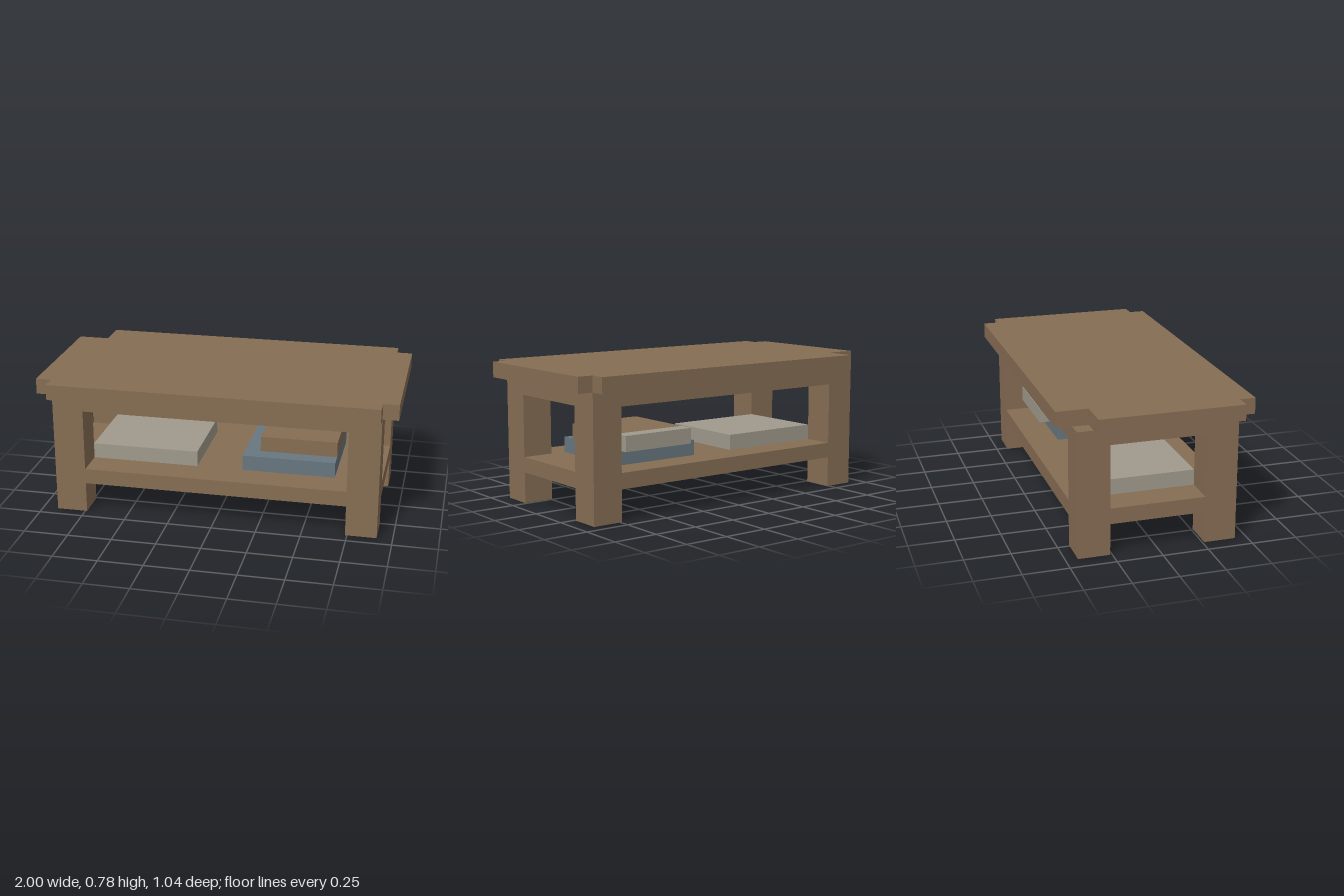
import * as THREE from 'three';

// Everything sits on a grid of 23 cells along the longest side
const U = 2 / 23;

const wood = new THREE.MeshStandardMaterial({ color: 0x866d53 });
wood.name = 'wood';
const paper = new THREE.MeshStandardMaterial({ color: 0xa09a8c });
paper.name = 'paper grey';
const blue = new THREE.MeshStandardMaterial({ color: 0x687780 });
blue.name = 'slate blue';

export function createModel() {
  const model = new THREE.Group();
  model.name = 'coffeeTable';

  const add = (name, geometry, material) => {
    geometry.scale(U, U, U);
    const mesh = new THREE.Mesh(geometry, material);
    mesh.name = name;
    model.add(mesh);
  };

  // Box from its minimum and maximum corners, in cells
  const block = (name, [x0, y0, z0], [x1, y1, z1], material) => {
    const g = new THREE.BoxGeometry(x1 - x0, y1 - y0, z1 - z0);
    g.translate((x0 + x1) / 2, (y0 + y1) / 2, (z0 + z1) / 2);
    add(name, g, material);
  };

  // Horizontal board, one cell thick, from an outline of [x, z] points
  const board = (name, outline, y, material) => {
    const shape = new THREE.Shape(outline.map(([x, z]) => new THREE.Vector2(x, -z)));
    const g = new THREE.ExtrudeGeometry(shape, { depth: 1, bevelEnabled: false });
    g.rotateX(-Math.PI / 2);
    g.translate(0, y, 0);
    add(name, g, material);
  };

  // Tabletop with notched corners, the back right notch being larger
  board('tabletop', [
    [-10.5, 6], [10.5, 6], [10.5, 5], [11.5, 5],
    [11.5, -5], [10.5, -5], [10.5, -6], [-9.5, -6],
    [-9.5, -4], [-11.5, -4], [-11.5, 5], [-10.5, 5],
  ], 8, wood);

  // Shelf fitted around the legs
  board('shelf', [
    [-8.5, 5], [8.5, 5], [8.5, 3], [10.5, 3],
    [10.5, -3], [8.5, -3], [8.5, -5], [-8.5, -5],
    [-8.5, -3], [-10.5, -3], [-10.5, 3], [-8.5, 3],
  ], 2, wood);

  // Legs
  for (const [sx, side] of [[1, 'Left'], [-1, 'Right']]) {
    for (const [sz, end] of [[1, 'front'], [-1, 'back']]) {
      const x = sx * 9.5, z = sz * 4;
      block(`${end}${side}Leg`, [x - 1, 0, z - 1], [x + 1, 8, z + 1], wood);
    }
  }

  // Apron rails between the legs
  block('frontRail', [-8.5, 7, 3], [8.5, 8, 5], wood);
  block('backRail', [-8.5, 7, -5], [8.5, 8, -3], wood);
  block('leftRail', [8.5, 7, -3], [10.5, 8, 3], wood);
  block('rightRail', [-10.5, 7, -3], [-8.5, 8, 3], wood);

  // Books on the shelf
  block('greyBook', [-8.5, 3, -3], [-1.5, 4, 3], paper);
  block('blueBook', [1.5, 3, -3], [7.5, 4, 3], blue);
  block('brownBook', [2.5, 4, -3], [7.5, 5, 2], wood);
  block('brownBookPages', [2.5, 4, -4], [7.5, 5, -3], paper);

  return model;
}
